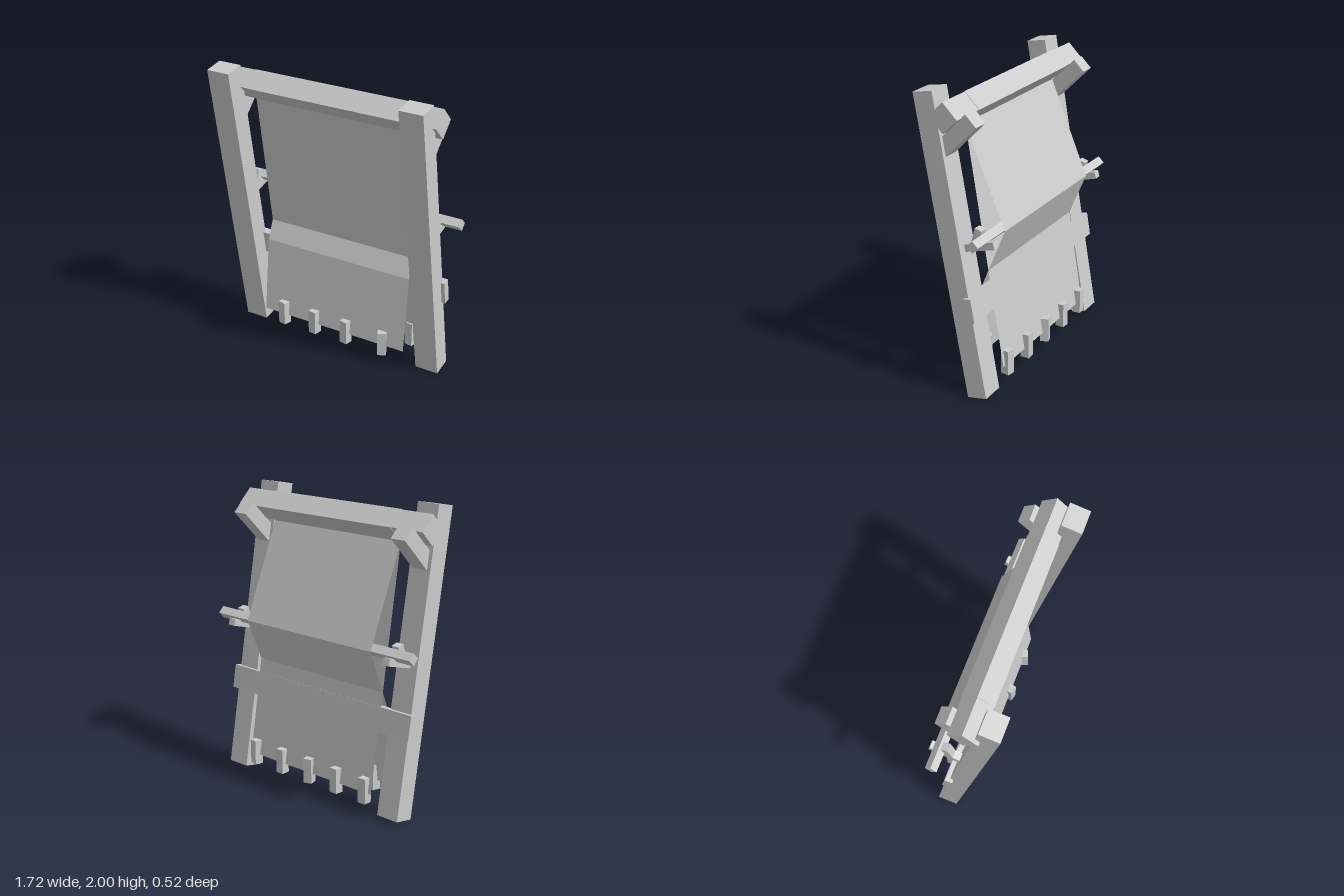
import * as THREE from 'three';

const material = new THREE.MeshStandardMaterial({ color: 0xcccccc, flatShading: true });
const clothMaterial = new THREE.MeshStandardMaterial({ color: 0xcccccc, flatShading: true, side: THREE.DoubleSide });

// Timber running between two [z, y] points, with its width along x
function timber(name, x, width, thickness, [z0, y0], [z1, y1]) {
  const length = Math.hypot(z1 - z0, y1 - y0);
  const mesh = new THREE.Mesh(new THREE.BoxGeometry(width, length, thickness), material);
  mesh.name = name;
  mesh.position.set(x, (y0 + y1) / 2, (z0 + z1) / 2);
  mesh.rotation.x = Math.atan2(z1 - z0, y1 - y0);
  return mesh;
}

// Square bar along x, turned on its corner
function diamondBar(name, length, side, z, y, mat = material) {
  const mesh = new THREE.Mesh(new THREE.BoxGeometry(length, side, side), mat);
  mesh.name = name;
  mesh.position.set(0, y, z);
  mesh.rotation.x = Math.PI / 4;
  return mesh;
}

// Thin sheet of threads following a [z, y] path
function sheet(name, halfWidth, path) {
  const positions = [];
  for (let i = 0; i < path.length - 1; i++) {
    const [za, ya] = path[i], [zb, yb] = path[i + 1], w = halfWidth;
    positions.push(-w, ya, za, -w, yb, zb, w, yb, zb, -w, ya, za, w, yb, zb, w, ya, za);
  }
  const geometry = new THREE.BufferGeometry();
  geometry.setAttribute('position', new THREE.Float32BufferAttribute(positions, 3));
  geometry.computeVertexNormals();
  const mesh = new THREE.Mesh(geometry, clothMaterial);
  mesh.name = name;
  return mesh;
}

// Row of hanging weights, each given as [x, turn]
function weightRow(name, z, items) {
  const row = new THREE.Group();
  row.name = name;
  for (const [x, turn] of items) {
    const mesh = new THREE.Mesh(new THREE.BoxGeometry(0.06, 0.17, 0.06), material);
    mesh.name = 'weight';
    mesh.position.set(x, 0.165, z);
    mesh.rotation.y = turn;
    row.add(mesh);
  }
  return row;
}

export function createModel() {
  const model = new THREE.Group();
  model.name = 'uprightLoom';

  // Leaning posts with their brackets
  for (const [side, s] of [['left', 1], ['right', -1]]) {
    model.add(
      timber(side + 'Post', s * 0.697, 0.165, 0.137, [-0.156, 0.012], [0.193, 1.988]),
      timber(side + 'BeamBracket', s * 0.697, 0.112, 0.104, [0.098, 1.626], [-0.122, 1.846]),
      timber(side + 'RodArm', s * 0.697, 0.055, 0.047, [0.0, 0.998], [-0.254, 1.069]),
      timber(side + 'RodProng', s * 0.697, 0.055, 0.05, [-0.115, 1.035], [-0.146, 1.154]),
    );
  }

  // Cross members
  model.add(
    diamondBar('topBeam', 1.61, 0.139, 0.037, 1.854),
    diamondBar('beamWrap', 1.115, 0.144, 0.037, 1.854, clothMaterial),
    diamondBar('heddleRod', 1.72, 0.057, -0.186, 1.1),
    timber('lowerBeam', 0, 1.61, 0.054, [-0.133, 0.55], [-0.106, 0.71]),
  );

  // Crossing warp sheets: one straight, one pulled back over the rod
  model.add(
    sheet('straightWarp', 0.557, [[0.037, 1.755], [-0.222, 0.145]]),
    sheet('pulledWarp', 0.557, [[0.037, 1.755], [-0.237, 1.1], [-0.06, 0.675], [-0.005, 0.145]]),
  );

  // Warp weights
  model.add(
    weightRow('frontWeights', -0.005, [[-0.395, -0.25], [-0.145, -0.15], [0.107, -0.2], [0.395, 0.42]]),
    weightRow('backWeights', -0.222, [[-0.502, 0.05], [-0.255, -0.08], [-0.008, 0.3], [0.249, 0.03], [0.503, -0.2]]),
  );
  return model;
}
